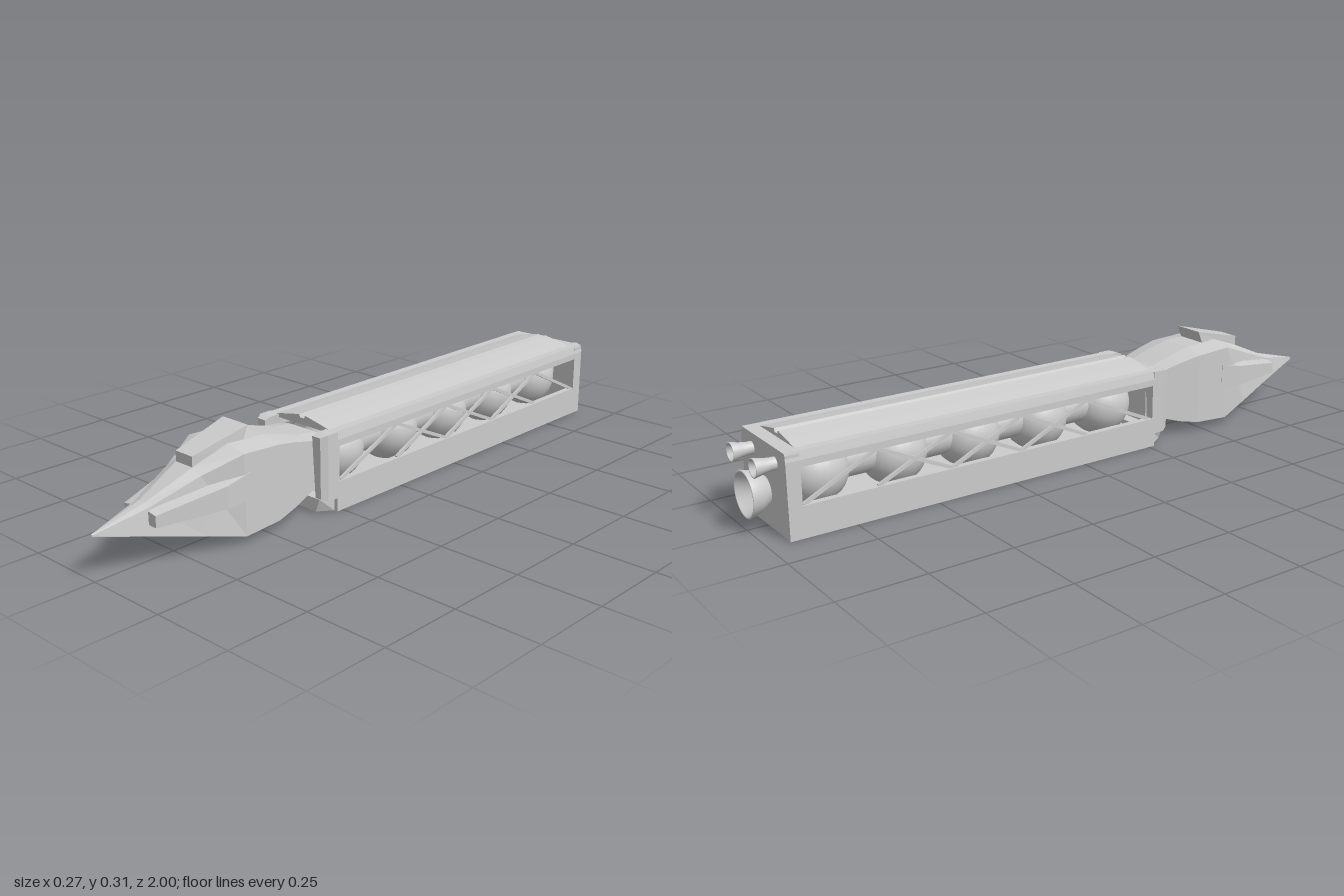
import * as THREE from 'three';

const flat = new THREE.MeshStandardMaterial({ color: 0xcccccc, flatShading: true, side: THREE.DoubleSide });
const smooth = new THREE.MeshStandardMaterial({ color: 0xcccccc, side: THREE.DoubleSide });

function add(parent, name, geometry, material = flat) {
  const mesh = new THREE.Mesh(geometry, material);
  mesh.name = name;
  parent.add(mesh);
  return mesh;
}

// Box given by its limits on each axis
function box(x0, x1, y0, y1, z0, z1) {
  return new THREE.BoxGeometry(x1 - x0, y1 - y0, z1 - z0)
    .translate((x0 + x1) / 2, (y0 + y1) / 2, (z0 + z1) / 2);
}

// Profile in x,y pushed along z
function alongZ(points, z0, z1) {
  const shape = new THREE.Shape(points.map(([x, y]) => new THREE.Vector2(x, y)));
  return new THREE.ExtrudeGeometry(shape, { depth: z1 - z0, bevelEnabled: false }).translate(0, 0, z0);
}

// Capped skin over rings of [x, y, z], counter-clockwise seen from the front, ordered back to front
function loft(rings) {
  const pos = [], n = rings[0].length, last = rings[rings.length - 1];
  for (let i = 0; i + 1 < rings.length; i++) {
    for (let j = 0; j < n; j++) {
      const k = (j + 1) % n;
      const [a, b, c, d] = [rings[i][j], rings[i][k], rings[i + 1][k], rings[i + 1][j]];
      pos.push(...a, ...b, ...c, ...a, ...c, ...d);
    }
  }
  for (let j = 1; j + 1 < n; j++) {
    pos.push(...rings[0][0], ...rings[0][j + 1], ...rings[0][j]);
    pos.push(...last[0], ...last[j], ...last[j + 1]);
  }
  const g = new THREE.BufferGeometry();
  g.setAttribute('position', new THREE.Float32BufferAttribute(pos, 3));
  g.computeVertexNormals();
  return g;
}

const mirrorRings = (rings) => rings.map((r) => r.map(([x, y, z]) => [-x, y, z]).reverse());

function createHead() {
  const head = new THREE.Group();
  head.name = 'head';

  // Wedge nose: z, bottom half width and y, upper half width and y, crest half width and y
  const stations = [
    [0.27, 0.092, 0.065, 0.092, 0.212, 0.05, 0.22],
    [0.33, 0.095, 0.068, 0.095, 0.218, 0.05, 0.226],
    [0.4, 0.104, 0.045, 0.104, 0.236, 0.05, 0.247],
    [0.47, 0.113, 0.03, 0.113, 0.25, 0.05, 0.264],
    [0.59, 0.113, 0.023, 0.111, 0.256, 0.05, 0.27],
    [0.70, 0.083, 0.05, 0.066, 0.215, 0.033, 0.23],
    [0.84, 0.044, 0.085, 0.032, 0.163, 0.012, 0.17],
    [1.0, 0.002, 0.124, 0.002, 0.128, 0.001, 0.13],
  ];
  add(head, 'hull', loft(stations.map(([z, wb, yb, wt, yt, wc, yc]) => [
    [-wb, yb, z], [wb, yb, z], [wt, yt, z], [wc, yc, z], [-wc, yc, z], [-wt, yt, z],
  ])));

  // Canopy block on top
  add(head, 'canopy', loft([
    [[-0.05, 0.26, 0.54], [0.05, 0.26, 0.54], [0.05, 0.305, 0.52], [-0.05, 0.305, 0.52]],
    [[-0.033, 0.222, 0.7], [0.033, 0.222, 0.7], [0.033, 0.26, 0.7], [-0.033, 0.26, 0.7]],
  ]));

  // Side pods
  const pod = [
    [[0.05, 0.12, 0.57], [0.113, 0.125, 0.57], [0.113, 0.202, 0.57], [0.05, 0.202, 0.57]],
    [[0.08, 0.12, 0.65], [0.113, 0.12, 0.65], [0.113, 0.185, 0.65], [0.055, 0.198, 0.65]],
    [[0.035, 0.117, 0.85], [0.064, 0.117, 0.85], [0.064, 0.15, 0.85], [0.035, 0.155, 0.85]],
  ];
  add(head, 'leftPod', loft(pod));
  add(head, 'rightPod', loft(mirrorRings(pod)));
  return head;
}

function createHold() {
  const hold = new THREE.Group();
  hold.name = 'cargoHold';

  // Side walls with a long window
  const wall = new THREE.Shape([[-0.94, 0], [0.27, 0], [0.27, 0.212], [-0.94, 0.212]].map((p) => new THREE.Vector2(...p)));
  wall.holes.push(new THREE.Path([[-0.9, 0.09], [-0.9, 0.195], [0.26, 0.195], [0.26, 0.09]].map((p) => new THREE.Vector2(...p))));
  const wallGeo = new THREE.ExtrudeGeometry(wall, { depth: 0.02, bevelEnabled: false }).rotateY(-Math.PI / 2);
  add(hold, 'leftWall', wallGeo).position.x = 0.137;
  add(hold, 'rightWall', wallGeo).position.x = -0.117;

  add(hold, 'floor', box(-0.12, 0.12, 0, 0.03, -0.93, 0.27));
  add(hold, 'rearBulkhead', box(-0.135, 0.135, 0.002, 0.232, -0.94, -0.9));

  // Roof with chamfered edges and a grooved ridge
  const half = [[0.12, 0.228], [0.12, 0.205], [0.137, 0.205], [0.137, 0.214], [0.132, 0.238]];
  const mirrored = half.map(([x, y]) => [-x, y]).reverse();
  add(hold, 'roof', alongZ([...half, ...mirrored], -0.94, 0.27));
  add(hold, 'roofRidge', alongZ([[-0.115, 0.236], [0.115, 0.236], [0.06, 0.248], [0.012, 0.257],
    [0.008, 0.248], [-0.008, 0.248], [-0.012, 0.257], [-0.06, 0.248]], -0.9, 0.27));

  // Front collar: a pillar each side and a tongue below
  const pillar = [
    [[0.108, 0.04, 0.265], [0.137, 0.04, 0.265], [0.137, 0.238, 0.265], [0.095, 0.238, 0.265]],
    [[0.105, 0.042, 0.305], [0.137, 0.042, 0.305], [0.137, 0.238, 0.305], [0.095, 0.238, 0.305]],
    [[0.105, 0.05, 0.325], [0.126, 0.05, 0.325], [0.126, 0.232, 0.325], [0.095, 0.232, 0.325]],
  ];
  add(hold, 'leftPillar', loft(pillar));
  add(hold, 'rightPillar', loft(mirrorRings(pillar)));
  add(hold, 'frontTongue', loft([
    [[-0.125, 0, 0.27], [0.125, 0, 0.27], [0.125, 0.045, 0.27], [-0.125, 0.045, 0.27]],
    [[-0.1, 0.005, 0.32], [0.1, 0.005, 0.32], [0.115, 0.045, 0.32], [-0.115, 0.045, 0.32]],
  ]));

  // Crossed braces over the windows
  const nodes = [0.25, 0.01, -0.22, -0.45, -0.68, -0.895];
  const low = 0.09, high = 0.195;
  for (const x of [-0.128, 0.128]) {
    for (let i = 0; i < 5; i++) {
      const slopes = i === 0 ? [[low, high]] : i === 4 ? [[high, low]] : [[low, high], [high, low]];
      for (const [ya, yb] of slopes) {
        const dz = nodes[i + 1] - nodes[i], dy = yb - ya;
        const brace = add(hold, 'brace', new THREE.BoxGeometry(0.008, 0.01, Math.hypot(dz, dy)));
        brace.position.set(x, (ya + yb) / 2, (nodes[i] + nodes[i + 1]) / 2);
        brace.rotation.x = -Math.atan2(dy, dz);
      }
    }
  }

  // Row of round tanks on a connecting pipe
  for (let i = 0; i < 5; i++) {
    add(hold, 'tank', new THREE.SphereGeometry(0.097, 24, 16).rotateX(Math.PI / 2), smooth)
      .position.set(0, 0.13, 0.155 - i * 0.24);
  }
  add(hold, 'tankPipe', new THREE.CylinderGeometry(0.055, 0.055, 1.06, 24).rotateX(Math.PI / 2), smooth)
    .position.set(0, 0.14, -0.37);
  return hold;
}

// Open bell nozzle pointing back
function nozzle(name, x, y, profile) {
  const points = profile.map(([r, d]) => new THREE.Vector2(r, d));
  const mesh = new THREE.Mesh(new THREE.LatheGeometry(points, 28).rotateX(-Math.PI / 2), smooth);
  mesh.name = name;
  mesh.position.set(x, y, -0.94);
  return mesh;
}

export function createModel() {
  const model = new THREE.Group();
  model.name = 'spacecraft';
  model.add(createHead(), createHold());

  // Engines
  const main = [[0.035, -0.005], [0.046, 0.01], [0.058, 0.03], [0.066, 0.06], [0.06, 0.06], [0.045, 0.025], [0.02, 0.008], [0, 0.005]];
  const small = [[0.018, -0.005], [0.018, 0.015], [0.021, 0.035], [0.027, 0.06], [0.023, 0.06], [0.014, 0.03], [0, 0.025]];
  model.add(nozzle('mainNozzle', 0, 0.1, main));
  for (const s of [-1, 1]) model.add(nozzle('smallNozzle', s * 0.072, 0.195, small));
  return model;
}
